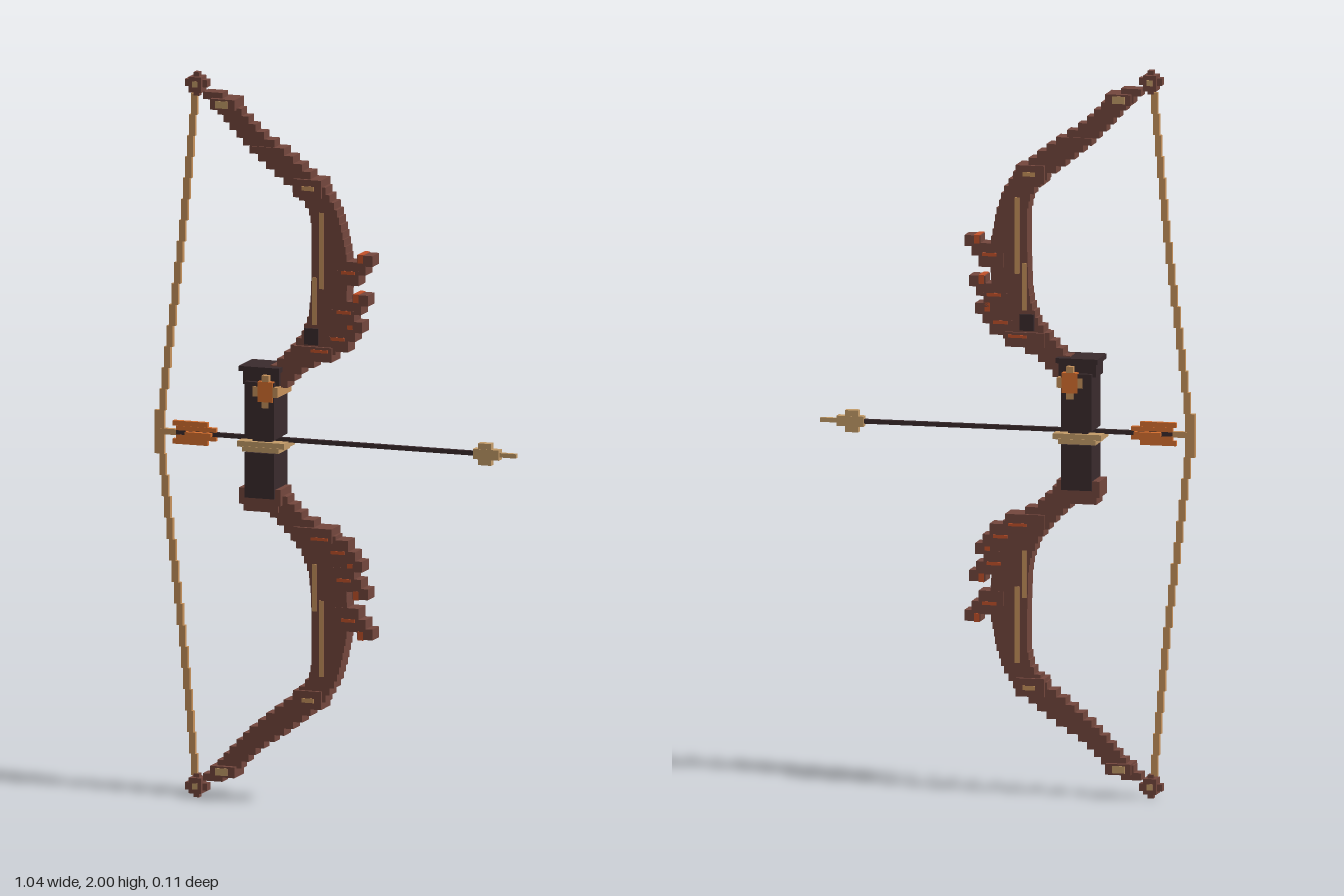
import * as THREE from 'three';

const mat = (name, color) => Object.assign(new THREE.MeshStandardMaterial({ color }), { name });
const M = {
  wood: mat('brown wood', 0x74473d),
  dark: mat('dark grip', 0x3a2b2d),
  cord: mat('tan cord', 0xc8935c),
  brass: mat('pale brass', 0xc49c69),
  orange: mat('orange', 0xd8702f),
  ember: mat('ember stripe', 0xc4522a),
};

// Box given by its x range, y range and half depth
function box(parent, name, m, x0, x1, y0, y1, hz) {
  const mesh = new THREE.Mesh(new THREE.BoxGeometry(x1 - x0, Math.abs(y1 - y0), hz * 2), M[m]);
  mesh.position.set((x0 + x1) / 2, (y0 + y1) / 2, 0);
  mesh.name = name;
  parent.add(mesh);
}

const group = (parent, name) => {
  const g = new THREE.Group();
  g.name = name;
  parent.add(g);
  return g;
};

// Linear lookup of column c in rows sorted by their first entry
function lookup(rows, t, c) {
  let i = 1;
  while (i < rows.length - 1 && rows[i][0] < t) i++;
  const a = rows[i - 1], b = rows[i];
  return THREE.MathUtils.lerp(a[c], b[c], THREE.MathUtils.clamp((t - a[0]) / (b[0] - a[0]), 0, 1));
}

// Limb outline: distance from the arrow line, inner x, outer x
const LIMB = [
  [0.14, -0.19, -0.15], [0.2, -0.18, -0.09], [0.25, -0.13, 0], [0.3, -0.09, 0.04],
  [0.35, -0.07, 0.05], [0.4, -0.063, 0.04], [0.5, -0.06, 0.045], [0.6, -0.06, 0.025],
  [0.65, -0.07, 0.01], [0.7, -0.115, -0.02], [0.75, -0.18, -0.075], [0.8, -0.24, -0.14],
  [0.85, -0.29, -0.215], [0.9, -0.335, -0.265], [0.93, -0.365, -0.3], [0.96, -0.4, -0.36],
];
const STRING = [[0, -0.51], [0.2, -0.487], [0.4, -0.462], [0.6, -0.438], [0.8, -0.419], [0.95, -0.405]];

// One limb; s = 1 above the arrow, -1 below
function limb(root, s) {
  const g = group(root, s > 0 ? 'upperLimb' : 'lowerLimb');
  const b = (name, m, x0, x1, d0, d1, hz) => box(g, name, m, x0, x1, 1 + s * d0, 1 + s * d1, hz);

  // stepped wooden body
  const step = 0.02;
  for (let i = 0; i < 41; i++) {
    const d = 0.15 + i * step - step / 2;
    b('limbStep', 'wood', lookup(LIMB, d, 1), lookup(LIMB, d, 2), d - step / 2, d + step / 2,
      d > 0.8 ? 0.022 : 0.027);
  }

  // collars
  b('outerCollar', 'wood', -0.35, -0.28, 0.905, 0.935, 0.037);
  b('outerCollarTrim', 'brass', -0.335, -0.3, 0.91, 0.93, 0.039);
  b('middleCollar', 'wood', -0.11, -0.03, 0.68, 0.73, 0.037);
  b('middleCollarTrim', 'cord', -0.085, -0.05, 0.7, 0.712, 0.039);
  b('innerCollar', 'wood', -0.11, 0, 0.23, 0.27, 0.036);
  b('innerCollarTrim', 'ember', -0.06, -0.01, 0.255, 0.263, 0.038);
  if (s > 0) b('limbKnot', 'dark', -0.08, -0.04, 0.275, 0.32, 0.034);

  // inlaid strips along the face
  b('inlay', 'cord', -0.038, -0.026, 0.43, 0.64, 0.03);
  b('inlay', 'cord', -0.058, -0.046, 0.33, 0.46, 0.03);

  // stepped spikes with stripes
  for (const [x, d] of [[0.115, 0.53], [0.102, 0.42], [0.085, 0.345]]) {
    b('spikeTip', 'wood', x - 0.045, x, d - 0.03, d, 0.026);
    b('spikeMiddle', 'wood', x - 0.085, x - 0.02, d - 0.055, d - 0.02, 0.027);
    b('spikeRoot', 'wood', x - 0.11, x - 0.04, d - 0.085, d - 0.045, 0.028);
    b('spikeStripe', 'ember', x - 0.042, x - 0.027, d - 0.022, d + 0.002, 0.028);
    b('spikeStripe', 'ember', x - 0.09, x - 0.05, d - 0.055, d - 0.046, 0.03);
  }

  // cross-shaped tip
  b('tipBar', 'wood', -0.432, -0.368, 0.96, 0.98, 0.012);
  b('tipBlock', 'wood', -0.418, -0.382, 0.945, 0.988, 0.022);
  b('tipPin', 'wood', -0.408, -0.392, 0.935, 1, 0.01);
  b('tipStud', 'brass', -0.408, -0.392, 0.96, 0.976, 0.024);

  // stepped bowstring half
  const n = 15;
  for (let i = 0; i < n; i++) {
    const d0 = 0.06 + (0.88 * i) / n, d1 = 0.06 + (0.88 * (i + 1)) / n;
    const x = lookup(STRING, (d0 + d1) / 2, 1);
    b('bowstring', 'cord', x - 0.009, x + 0.009, d0, d1, 0.006);
  }
}

export function createModel() {
  const root = new THREE.Group();
  root.name = 'bowAndArrow';
  limb(root, 1);
  limb(root, -1);
  box(root, 'bowstringCentre', 'cord', -0.522, -0.495, 0.94, 1.06, 0.006);

  // grip with caps and centre band
  const grip = group(root, 'grip');
  box(grip, 'gripUpper', 'dark', -0.245, -0.16, 1.008, 1.165, 0.052);
  box(grip, 'gripLower', 'dark', -0.245, -0.16, 0.845, 0.97, 0.052);
  box(grip, 'gripCore', 'dark', -0.23, -0.175, 0.96, 1.02, 0.03);
  box(grip, 'gripBand', 'brass', -0.27, -0.135, 0.982, 0.998, 0.042);
  box(grip, 'gripBand', 'brass', -0.255, -0.15, 0.97, 0.984, 0.044);
  box(grip, 'upperCapPlate', 'dark', -0.262, -0.145, 1.193, 1.207, 0.053);
  box(grip, 'upperCap', 'dark', -0.255, -0.15, 1.155, 1.193, 0.038);
  box(grip, 'lowerCap', 'wood', -0.265, -0.145, 0.825, 0.87, 0.042);
  box(grip, 'lowerCapPlate', 'wood', -0.255, -0.155, 0.805, 0.83, 0.034);

  // stepped diamond ornament
  for (const [w, h, z, m] of [[0.036, 0.014, 0.054, 'cord'], [0.022, 0.028, 0.055, 'orange'], [0.01, 0.045, 0.054, 'cord']])
    box(grip, 'ornament', m, -0.185 - w, -0.185 + w, 1.14 - h, 1.14 + h, z);

  // arrow
  const arrow = group(root, 'arrow');
  box(arrow, 'shaft', 'dark', -0.5, 0.42, 0.996, 1.008, 0.006);
  box(arrow, 'nock', 'cord', -0.515, -0.46, 0.994, 1.01, 0.007);
  for (const s of [-1, 1]) {
    const y = (d) => 1.002 + s * d;
    box(arrow, 'feather', 'orange', -0.47, -0.37, y(0.018), y(0.032), 0.006);
    box(arrow, 'feather', 'orange', -0.46, -0.345, y(0.006), y(0.018), 0.007);
  }
  box(arrow, 'sideFeather', 'orange', -0.43, -0.355, 0.997, 1.007, 0.02);
  box(arrow, 'headCore', 'brass', 0.4, 0.475, 0.988, 1.016, 0.012);
  box(arrow, 'headBarb', 'brass', 0.415, 0.452, 0.972, 1.032, 0.011);
  box(arrow, 'headPoint', 'brass', 0.47, 0.522, 0.996, 1.008, 0.006);
  return root;
}
